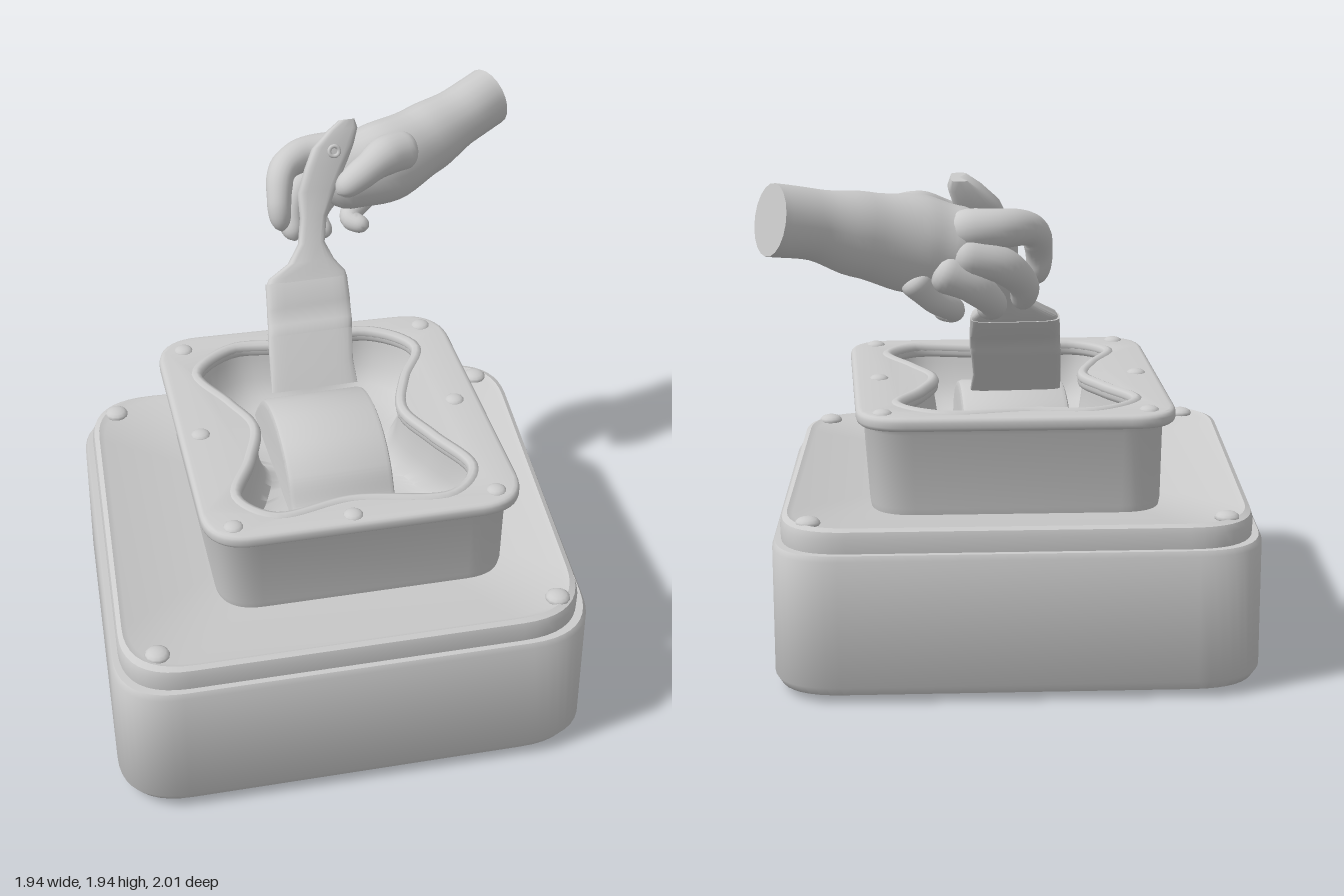
import * as THREE from 'three';
import { toCreasedNormals } from 'three/addons/utils/BufferGeometryUtils.js';

const V = (x, y, z) => new THREE.Vector3(x, y, z);
const material = new THREE.MeshStandardMaterial({ color: 0xcccccc });
const thin = new THREE.MeshStandardMaterial({ color: 0xcccccc, side: THREE.DoubleSide });

function part(group, name, geometry, mat = material) {
  const mesh = new THREE.Mesh(geometry, mat);
  mesh.name = name;
  group.add(mesh);
  return mesh;
}

// Skin a list of equal-length rings; closed ends get a fan. Faces are turned outwards by volume sign.
function loft(rings, capStart = true, capEnd = true, crease = 0.7) {
  const n = rings[0].length, pts = rings.flat(), idx = [];
  for (let i = 0; i < rings.length - 1; i++) {
    for (let j = 0; j < n; j++) {
      const k = (j + 1) % n, a = i * n + j, b = i * n + k, c = a + n, d = b + n;
      idx.push(a, b, d, a, d, c);
    }
  }
  const cap = (row, flip) => {
    const mid = rings[row].reduce((s, p) => s.add(p), V(0, 0, 0)).divideScalar(n);
    const m = pts.push(mid) - 1;
    for (let j = 0; j < n; j++) {
      const a = row * n + j, b = row * n + (j + 1) % n;
      idx.push(m, flip ? b : a, flip ? a : b);
    }
  };
  if (capStart) cap(0, true);
  if (capEnd) cap(rings.length - 1, false);
  let volume = 0;
  const o = pts[0], e = (i) => pts[idx[i]].clone().sub(o);
  for (let i = 0; i < idx.length; i += 3) volume += e(i).dot(e(i + 1).cross(e(i + 2)));
  if (volume < 0) idx.reverse();
  const g = new THREE.BufferGeometry().setFromPoints(pts);
  g.setIndex(idx);
  return toCreasedNormals(g, crease);
}

// Rounded four-sided outline in x,z, shrunk by an inset
function roundedQuad(corners, r, inset = 0) {
  const cx = corners.reduce((s, c) => s + c[0], 0) / 4, cz = corners.reduce((s, c) => s + c[1], 0) / 4;
  const c = corners.map(([x, z]) => new THREE.Vector2(x - Math.sign(x - cx) * inset, z - Math.sign(z - cz) * inset));
  const out = [];
  c.forEach((p, i) => {
    const toward = (q) => q.clone().sub(p).setLength(r).add(p);
    const curve = new THREE.QuadraticBezierCurve(toward(c[(i + 3) % 4]), p, toward(c[(i + 1) % 4]));
    out.push(...curve.getPoints(10));
  });
  return out;
}
const quadRings = (corners, r, profile) =>
  profile.map(([inset, y]) => roundedQuad(corners, r, inset).map((p) => V(p.x, y, p.y)));

// Round limb along a curve; points are [x, y, z, thickness, width]. Open-ended start is a flat cut.
function limb(points, { flatStart = false, upright = false } = {}) {
  const curve = new THREE.CatmullRomCurve3(points.map((p) => V(p[0], p[1], p[2])));
  const steps = 28, frames = curve.computeFrenetFrames(steps), rings = [];
  const last = points.length - 1;
  for (let i = 0; i <= steps; i++) {
    const t = i / steps, f = Math.min(t * last, last - 1e-6), k = Math.floor(f);
    const s = THREE.MathUtils.smoothstep(f - k, 0, 1);
    const mix = (q) => THREE.MathUtils.lerp(points[k][q] ?? points[k][3], points[k + 1][q] ?? points[k + 1][3], s);
    const end = flatStart ? 1 - t : Math.min(t, 1 - t);
    const round = Math.sqrt(Math.max(0.02, 1 - Math.max(0, 1 - end / 0.14) ** 2));
    const tangent = frames.tangents[i];
    let a = frames.normals[i], b = frames.binormals[i];
    if (upright) {
      b = tangent.clone().cross(V(0, 1, 0)).normalize();
      a = b.clone().cross(tangent).normalize();
    }
    const p = curve.getPoint(t), ring = [];
    for (let j = 0; j < 20; j++) {
      const w = (j / 20) * Math.PI * 2;
      ring.push(p.clone().addScaledVector(a, Math.cos(w) * mix(3) * round).addScaledVector(b, Math.sin(w) * mix(4) * round));
    }
    rings.push(ring);
  }
  return loft(rings, true, true, 1);
}

function addBolts(group, name, spots, y, r) {
  spots.forEach(([x, z]) => {
    const bolt = part(group, name, new THREE.SphereGeometry(r, 12, 8));
    bolt.scale.y = 0.5;
    bolt.position.set(x, y, z);
  });
}

function createBase() {
  const g = new THREE.Group();
  g.name = 'base';
  const corners = [[-0.85, -0.84], [0.96, -0.75], [0.82, 1], [-0.99, 0.96]];
  part(g, 'baseBox', loft(quadRings(corners, 0.25, [
    [0.05, 0.018], [0.018, 0.03], [0, 0.065], [0, 0.545], [0.01, 0.565], [0.032, 0.565],
    [0.03, 0.62], [0.037, 0.645], [0.055, 0.655], [0.075, 0.645]])));
  const spots = [[-0.72, -0.69], [0.81, -0.61], [0.7, 0.85], [-0.81, 0.82]];
  addBolts(g, 'baseBolt', spots, 0.65, 0.047);
  addBolts(g, 'foot', spots, 0.022, 0.045);
  return g;
}

function createTray() {
  const g = new THREE.Group();
  g.name = 'tray';
  const rim = [[-0.555, -0.64], [0.625, -0.585], [0.615, 0.72], [-0.59, 0.695]];
  part(g, 'trayBody', loft(quadRings(rim, 0.16, [
    [0.055, 0.64], [0.05, 0.67], [0.045, 0.95], [0.03, 0.985]]), false, false), thin);

  // Bone-shaped opening
  const bone = new THREE.CatmullRomCurve3([
    [-0.02, -0.5], [-0.26, -0.52], [-0.43, -0.37], [-0.34, -0.14], [-0.28, 0.03], [-0.34, 0.23],
    [-0.435, 0.45], [-0.32, 0.59], [-0.02, 0.555], [0.35, 0.61], [0.47, 0.47], [0.38, 0.24],
    [0.31, 0.05], [0.37, -0.15], [0.47, -0.36], [0.31, -0.52]].map(([x, z]) => V(x, 0, z)), true);
  const opening = bone.getSpacedPoints(96).slice(0, -1);
  const plate = new THREE.Shape(roundedQuad(rim, 0.16, 0.02).map((p) => new THREE.Vector2(p.x, -p.y)));
  plate.holes.push(new THREE.Path(opening.map((p) => new THREE.Vector2(p.x, -p.z))));
  const flange = new THREE.ExtrudeGeometry(plate, {
    depth: 0.018, bevelEnabled: true, bevelSize: 0.02, bevelThickness: 0.018, bevelSegments: 3 });
  part(g, 'rimPlate', toCreasedNormals(flange.rotateX(-Math.PI / 2).translate(0, 0.99, 0), 0.7));
  const lip = part(g, 'openingLip', new THREE.TubeGeometry(bone, 120, 0.024, 8, true));
  lip.position.y = 1.012;

  // Hollow with sloping walls and a rounded floor
  const hollow = [[1, 1.01], [0.98, 0.95], [0.94, 0.87], [0.87, 0.81], [0.78, 0.78], [0.6, 0.77]];
  part(g, 'hollow', loft(hollow.map(([s, y]) =>
    opening.map((p) => V(0.01 + (p.x - 0.01) * s, y, 0.03 + (p.z - 0.03) * s))), false, true), thin);

  // Arched saddle across the hollow
  const arch = new THREE.Shape();
  arch.moveTo(-0.4, 0.74);
  arch.splineThru([[-0.32, 0.84], [-0.2, 0.95], [-0.04, 0.995], [0.12, 0.97], [0.23, 0.9], [0.3, 0.8], [0.37, 0.74]]
    .map(([z, y]) => new THREE.Vector2(z, y)));
  const saddle = new THREE.ExtrudeGeometry(arch, { depth: 0.37, curveSegments: 30, bevelSize: 0.02, bevelThickness: 0.02, bevelSegments: 2 });
  part(g, 'saddle', toCreasedNormals(saddle.rotateY(-Math.PI / 2).translate(0.195, 0, 0), 0.7));

  addBolts(g, 'rimBolt', [[-0.45, -0.54], [0.53, -0.5], [-0.49, 0.04], [0.52, 0.04],
    [-0.48, 0.62], [0.51, 0.63], [-0.04, 0.65]], 1.022, 0.038);
  return g;
}

function createBrush() {
  const g = new THREE.Group();
  g.name = 'brush';
  // Cross-sections: y, left x, right x, z, thickness
  const outline = (rows) => rows.map(([y, x0, x1, z, t]) => {
    const ring = [];
    for (let j = 0; j < 24; j++) {
      const a = (j / 24) * Math.PI * 2, c = Math.cos(a), s = Math.sin(a);
      const dx = Math.sign(c) * Math.abs(c) ** 0.4 * (x1 - x0) / 2, d = Math.sign(s) * Math.abs(s) ** 0.6 * t / 2;
      ring.push(V((x0 + x1) / 2 + dx, y - d * 0.5, z - d * 0.85));
    }
    return ring;
  });
  part(g, 'bristles', loft(outline([
    [1.025, -0.165, 0.18, -0.165, 0.025], [1.1, -0.16, 0.175, -0.22, 0.035], [1.21, -0.15, 0.19, -0.305, 0.045]])));
  part(g, 'ferrule', loft(outline([
    [1.2, -0.15, 0.19, -0.298, 0.055], [1.225, -0.147, 0.193, -0.316, 0.058], [1.235, -0.145, 0.194, -0.324, 0.05],
    [1.28, -0.14, 0.197, -0.363, 0.05], [1.29, -0.138, 0.198, -0.371, 0.06], [1.36, -0.13, 0.2, -0.43, 0.06]])));
  part(g, 'handle', loft(outline([
    [1.35, -0.13, 0.2, -0.42, 0.055], [1.375, -0.115, 0.195, -0.44, 0.06], [1.42, -0.03, 0.155, -0.465, 0.06],
    [1.48, 0.02, 0.125, -0.503, 0.06], [1.57, 0.04, 0.145, -0.55, 0.065], [1.66, 0.04, 0.19, -0.59, 0.07],
    [1.75, 0.075, 0.24, -0.62, 0.07], [1.82, 0.11, 0.275, -0.645, 0.07], [1.88, 0.175, 0.295, -0.665, 0.065],
    [1.915, 0.225, 0.285, -0.675, 0.05]])));
  const eye = part(g, 'hangingHole', new THREE.TorusGeometry(0.02, 0.008, 8, 16));
  eye.position.set(0.19, 1.82, -0.607);
  eye.rotation.x = -0.35;
  return g;
}

function createHand() {
  const g = new THREE.Group();
  g.name = 'hand';
  part(g, 'palmAndWrist', limb([
    [0.91, 1.815, -0.915, 0.125, 0.11], [0.77, 1.785, -0.84, 0.122, 0.115], [0.6, 1.735, -0.77, 0.15, 0.13],
    [0.42, 1.69, -0.71, 0.175, 0.145], [0.27, 1.665, -0.7, 0.155, 0.13], [0.13, 1.655, -0.71, 0.11, 0.085]],
  { flatStart: true, upright: true }));
  part(g, 'thumb', limb([[0.52, 1.76, -0.66, 0.08], [0.4, 1.78, -0.6, 0.078], [0.3, 1.755, -0.54, 0.062], [0.18, 1.685, -0.51, 0.048]]));
  part(g, 'indexFinger', limb([[0.32, 1.73, -0.74, 0.085], [0.12, 1.745, -0.75, 0.07], [0, 1.725, -0.68, 0.06],
    [-0.035, 1.62, -0.595, 0.048], [-0.03, 1.51, -0.57, 0.038]]));
  part(g, 'middleFinger', limb([[0.3, 1.66, -0.78, 0.08], [0.12, 1.62, -0.77, 0.065], [0.03, 1.53, -0.69, 0.055], [0.03, 1.44, -0.6, 0.042]]));
  part(g, 'ringFinger', limb([[0.36, 1.62, -0.8, 0.075], [0.22, 1.55, -0.79, 0.06], [0.14, 1.47, -0.72, 0.05], [0.17, 1.43, -0.62, 0.038]]));
  part(g, 'littleFinger', limb([[0.44, 1.6, -0.79, 0.065], [0.36, 1.51, -0.77, 0.05], [0.28, 1.45, -0.71, 0.043], [0.34, 1.435, -0.64, 0.035]]));
  return g;
}

export function createModel() {
  const model = new THREE.Group();
  model.name = 'brushOverTray';
  model.add(createBase(), createTray(), createBrush(), createHand());
  return model;
}
